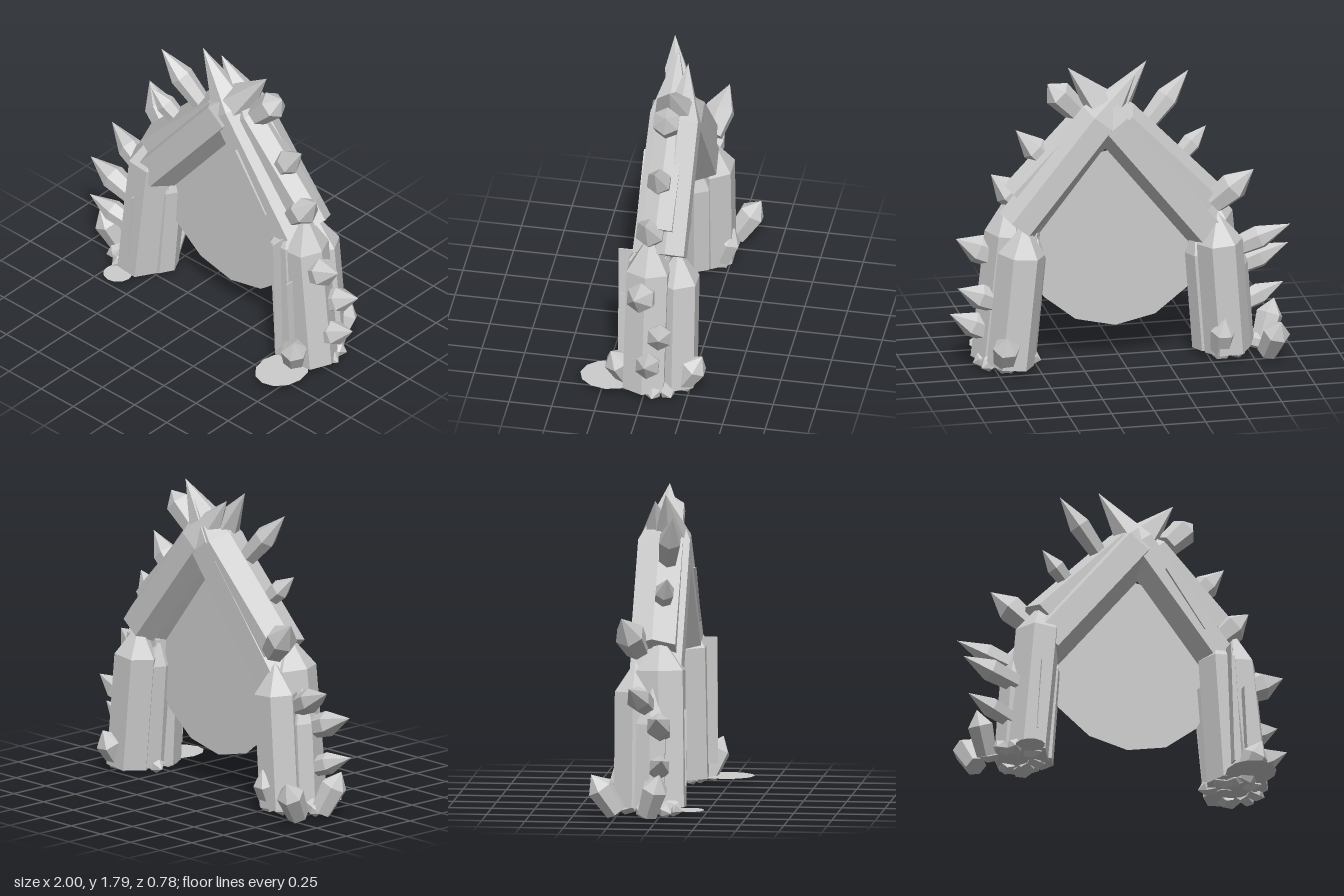
import * as THREE from 'three';

export function createModel() {
  const root = new THREE.Group();
  const stone = new THREE.MeshStandardMaterial({ color: 0xcccccc, flatShading: true, side: THREE.DoubleSide });
  stone.name = 'grey crystal';

  // Six-sided crystal from base to tip; `shoulder` is where the point begins, `taper` the base width
  function crystal(name, base, tip, r, shoulder = 0.75, taper = 1, depth = 1) {
    const a = new THREE.Vector3(...base), dir = new THREE.Vector3(...tip).sub(a);
    const len = dir.length();
    const profile = [[0, 0], [r * taper, 0], [r, len * shoulder], [0, len]].map(p => new THREE.Vector2(...p));
    const geo = new THREE.LatheGeometry(profile, 6);
    geo.rotateY(Math.PI / 6);
    geo.scale(1, 1, depth);
    const y = dir.normalize();
    const z = new THREE.Vector3(0, 0, 1).addScaledVector(y, -y.z).normalize();
    const x = new THREE.Vector3().crossVectors(y, z);
    geo.applyMatrix4(new THREE.Matrix4().makeBasis(x, y, z).setPosition(a));
    const mesh = new THREE.Mesh(geo, stone);
    mesh.name = name;
    root.add(mesh);
  }

  // Crossing roof beams, each a main crystal with a flatter outer one
  crystal('rightBeam', [-0.51, 0.77, -0.045], [0.31, 1.8, -0.06], 0.145, 0.68, 1, 1.18);
  crystal('rightOuterBeam', [-0.52, 0.95, -0.06], [0.24, 1.74, -0.08], 0.1, 0.68, 1, 1.5);
  crystal('leftFrontBeam', [0.57, 0.84, -0.01], [-0.16, 1.8, -0.03], 0.125, 0.68);
  crystal('leftBackBeam', [0.62, 0.88, -0.11], [-0.08, 1.75, -0.1], 0.13, 0.7, 1, 0.9);
  crystal('leftOuterBeam', [0.61, 1.04, -0.05], [0.08, 1.6, -0.05], 0.1, 0.8);

  // Right leg cluster
  crystal('rightFrontLeg', [-0.61, 0.05, 0], [-0.515, 1.03, -0.02], 0.135, 0.8, 1, 1.15);
  crystal('rightBackLeg', [-0.61, 0.05, -0.16], [-0.55, 0.89, -0.16], 0.135, 0.79, 1, 0.95);
  crystal('rightInnerLeg', [-0.5, 0.05, -0.07], [-0.44, 0.83, -0.08], 0.08, 0.75, 1, 1.2);
  crystal('rightOuterLeg', [-0.71, 0.05, -0.06], [-0.66, 0.75, -0.05], 0.075, 0.7, 1, 1.3);

  // Left leg cluster
  crystal('leftFrontLeg', [0.61, 0.05, 0.01], [0.55, 1.0, 0], 0.12, 0.81, 1, 1.15);
  crystal('leftOuterLeg', [0.755, 0.05, 0], [0.65, 1.04, -0.01], 0.115, 0.77, 1, 1.2);
  crystal('leftBackLeg', [0.67, 0.05, -0.165], [0.585, 0.91, -0.165], 0.14, 0.78, 1, 0.95);
  crystal('leftInnerLeg', [0.57, 0.05, -0.08], [0.5, 0.82, -0.09], 0.07, 0.8, 1, 1.4);

  // Side spikes: base, tip, radius
  [
    [[-0.16, 1.41, -0.02], [-0.42, 1.7, 0.04], 0.07],
    [[-0.34, 1.19, -0.03], [-0.52, 1.36, 0.02], 0.06],
    [[-0.53, 0.95, -0.15], [-0.75, 1.16, -0.22], 0.09],
    [[-0.64, 0.63, -0.08], [-0.98, 0.785, -0.15], 0.072],
    [[-0.66, 0.49, 0], [-1, 0.615, 0.01], 0.075],
    [[-0.68, 0.26, -0.02], [-0.98, 0.37, 0.04], 0.065],
    [[0.4, 1.2, -0.04], [0.61, 1.43, -0.03], 0.075],
    [[0.55, 0.96, -0.02], [0.75, 1.16, 0], 0.09],
    [[0.7, 0.65, 0], [0.95, 0.77, 0.03], 0.088],
    [[0.72, 0.4, -0.08], [0.97, 0.52, -0.12], 0.076],
    [[0.74, 0.2, -0.03], [1, 0.34, -0.04], 0.076],
  ].forEach(([base, tip, r]) => crystal('sideSpike', base, tip, r, 0.5, 0.8));

  // Loose floating crystal near the peak
  crystal('floatingCrystal', [0.26, 1.53, -0.04], [0.43, 1.71, -0.06], 0.083, 0.65, 0.85);

  // Stubby crystals around the feet
  [
    [[-0.83, 0.05, -0.24], [-0.88, 0.27, -0.38], 0.08],
    [[-0.83, 0.04, -0.06], [-0.92, 0.28, 0.02], 0.08],
    [[-0.56, 0.04, -0.19], [-0.57, 0.28, -0.28], 0.075],
    [[0.68, 0.04, 0.11], [0.76, 0.27, 0.2], 0.078],
    [[0.71, 0.06, -0.2], [0.72, 0.27, -0.33], 0.08],
  ].forEach(([base, tip, r]) => crystal('footCrystal', base, tip, r, 0.65, 0.8));

  // Broken shards under each leg
  for (const side of [-1, 1]) {
    for (let i = 0; i < 7; i++) {
      const a = i * 2.4, x = side * 0.67 + 0.1 * Math.cos(a), z = -0.06 + 0.1 * Math.sin(a);
      crystal('groundShard', [x, 0.07, z],
        [x + 0.1 * Math.cos(a), 0.04, z + 0.1 * Math.sin(a)], 0.045, 0.6);
    }
  }

  // Thin splinters standing out of the leg and beam fronts
  function splinter(x, y, z, h, d, lean) {
    const m = new THREE.Mesh(new THREE.BoxGeometry(0.008, h, d), stone);
    m.name = 'splinter';
    m.position.set(x, y, z);
    m.rotation.z = lean;
    root.add(m);
  }
  splinter(0.59, 0.5, 0.14, 0.74, 0.09, 0.03);
  splinter(0.68, 0.37, 0.13, 0.5, 0.07, 0.05);
  splinter(-0.575, 0.39, 0.12, 0.44, 0.04, -0.07);
  splinter(0.33, 1.15, 0.09, 0.42, 0.03, 0.6);

  // Flat portal pane and ground patches
  function disc(name, r, sides, pos, flat) {
    const m = new THREE.Mesh(new THREE.CircleGeometry(r, sides), stone);
    m.name = name;
    m.position.set(...pos);
    m.rotation.set(flat ? -Math.PI / 2 : 0, 0, flat ? 0 : Math.PI / 2);
    root.add(m);
    return m;
  }
  disc('portalPane', 0.54, 14, [0.03, 0.75, -0.06], false);
  disc('rightGroundPatch', 0.085, 12, [-0.645, 0.04, 0.165], true);
  disc('leftGroundPatch', 0.145, 12, [0.685, 0.05, 0.22], true).scale.y = 1.17;

  return root;
}
